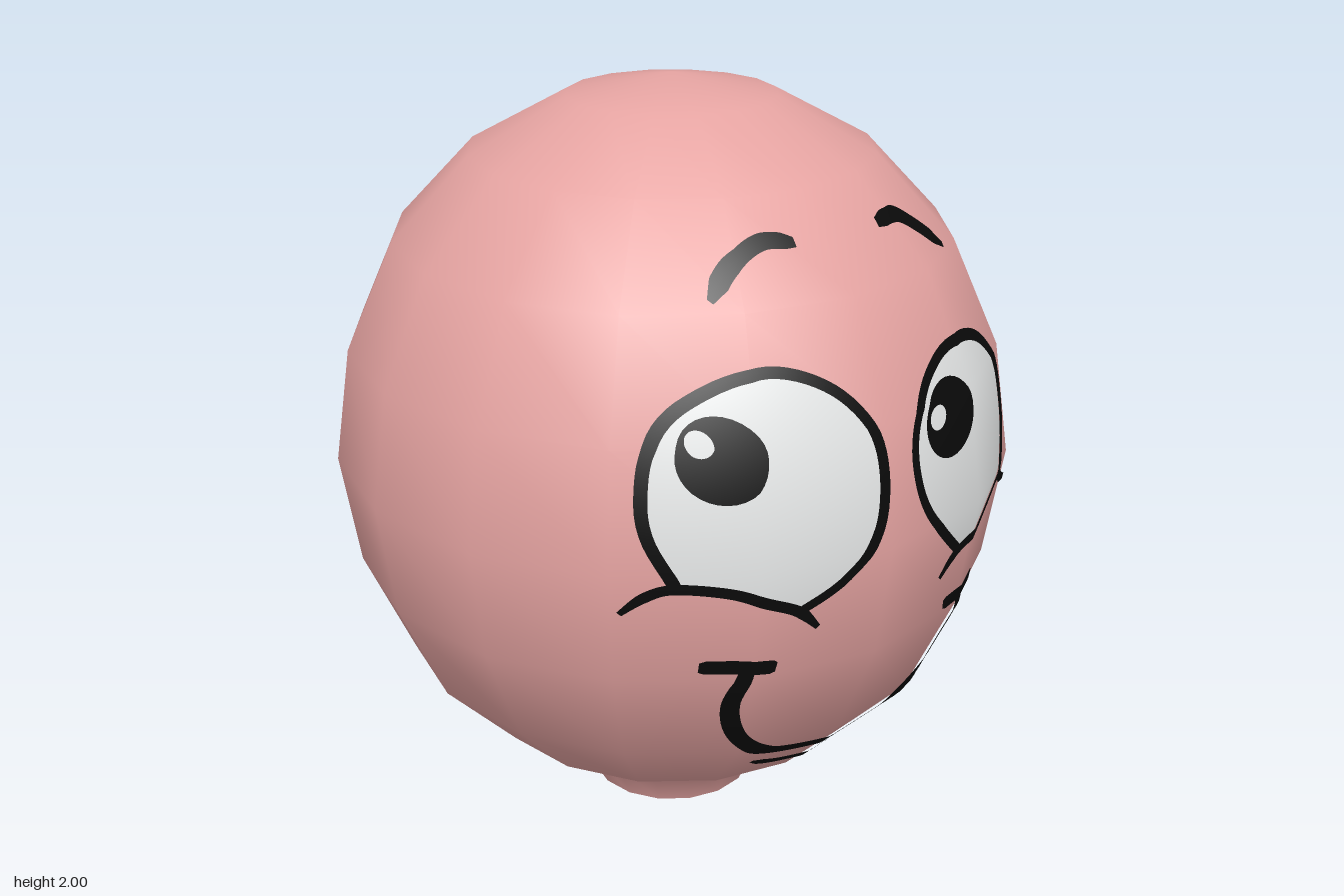
import * as THREE from 'three';

const SIDES = 16;
// Radius and height of each ring, from the neck to the crown
const PROFILE = [[0.225, 0], [0.275, 0.11], [0.52, 0.25], [0.72, 0.46], [0.845, 0.74], [0.89, 1.035],
  [0.845, 1.33], [0.72, 1.605], [0.52, 1.815], [0.27, 1.95], [0, 2]];

const material = (name, color) => {
  const m = new THREE.MeshStandardMaterial({ color });
  m.name = name;
  return m;
};

function radiusAt(y) {
  let i = 1;
  while (i < PROFILE.length - 1 && PROFILE[i][1] < y) i++;
  const [r0, y0] = PROFILE[i - 1], [r1, y1] = PROFILE[i];
  return r0 + (r1 - r0) * (y - y0) / (y1 - y0);
}

// Front point of the many-sided head at (x, y), and the rounded normal there
function onHead(x, y, lift) {
  const apothem = radiusAt(y) * Math.cos(Math.PI / SIDES);
  let z = Infinity;
  for (let k = -4; k < 4; k++) {
    const a = (k + 0.5) * 2 * Math.PI / SIDES;
    z = Math.min(z, (apothem - x * Math.sin(a)) / Math.cos(a));
  }
  const normal = new THREE.Vector3(x, (y - 1.035) * 0.85, z).normalize();
  return { point: new THREE.Vector3(x, y, z).addScaledVector(normal, lift), normal };
}

// Grid of rows of 2D points, draped over the face
function drape(name, rows, lift, mat) {
  const pos = [], nor = [], idx = [], n = rows[0].length;
  for (const row of rows) for (const p of row) {
    const s = onHead(p.x, p.y, lift);
    pos.push(...s.point.toArray());
    nor.push(...s.normal.toArray());
  }
  for (let i = 0; i < rows.length - 1; i++) for (let j = 0; j < n - 1; j++) {
    const a = i * n + j, b = a + n;
    idx.push(a, b, a + 1, b, b + 1, a + 1);
  }
  const g = new THREE.BufferGeometry();
  g.setAttribute('position', new THREE.Float32BufferAttribute(pos, 3));
  g.setAttribute('normal', new THREE.Float32BufferAttribute(nor, 3));
  g.setIndex(idx);
  const mesh = new THREE.Mesh(g, mat);
  mesh.name = name;
  return mesh;
}

const spline = (pts) => new THREE.SplineCurve(pts.map(([x, y]) => new THREE.Vector2(x, y)));

// Painted line; the width at each end is given as a share of the full width
function stroke(name, pts, width, mat, startShare = 0.7, endShare = 0.7) {
  const curve = spline(pts), N = 64, rows = [];
  for (let i = 0; i <= N; i++) {
    const u = i / N, p = curve.getPointAt(u), t = curve.getTangentAt(u);
    const ends = Math.min(1, startShare + u * 4, endShare + (1 - u) * 4);
    const half = width / 2 * ends, side = new THREE.Vector2(-t.y, t.x);
    rows.push([1, 0, -1].map((s) => p.clone().addScaledVector(side, s * half)).reverse());
  }
  // Rows run along the line, so the columns must go from right to left of it
  return drape(name, rows.map((r) => r.reverse()).reverse().map((r) => r.reverse()).reverse()
    .map((r) => r.slice().reverse()).map((r) => r.reverse()), 0.008, mat).translateZ(0);
}

// Filled patch made of rings that grow from its centre
function patch(name, outline, lift, mat) {
  const pts = outline.slice();
  if (THREE.ShapeUtils.area(pts) < 0) pts.reverse();
  const c = new THREE.Box2().setFromPoints(pts).getCenter(new THREE.Vector2());
  pts.push(pts[0]);
  const rows = [];
  for (let i = 0; i <= 16; i++) rows.push(pts.map((p) => c.clone().lerp(p, i / 16)));
  return drape(name, rows, lift, mat);
}

const ellipse = (x, y, rx, ry) =>
  new THREE.EllipseCurve(x, y, rx, ry, 0, Math.PI * 2).getPoints(32).slice(0, -1);

export function createModel() {
  const model = new THREE.Group();
  model.name = 'roundHead';
  const skin = material('pink skin', 0xe6a4a2);
  const white = material('eye white', 0xf4f6f6);
  const black = material('black ink', 0x0a0a0a);
  // Lines stay visible whichever way they are drawn
  black.side = THREE.DoubleSide;

  // Head and neck
  const headGeo = new THREE.LatheGeometry(PROFILE.map(([r, y]) => new THREE.Vector2(r, y)), SIDES);
  const { position, normal } = headGeo.attributes;
  for (let i = 0; i < position.count; i++) {
    if (position.getY(i) > 1.99) normal.setXYZ(i, 0, 1, 0);
  }
  const head = new THREE.Mesh(headGeo, skin);
  head.name = 'head';
  const base = new THREE.Mesh(new THREE.CircleGeometry(PROFILE[0][0], SIDES).rotateX(Math.PI / 2), skin);
  base.name = 'neckBase';
  model.add(head, base);

  // Eyes: the rim runs from the outer lid corner over the top to the inner one
  const eyes = [
    { name: 'rightEye',
      rim: [[-0.5, 1.01], [-0.545, 1.12], [-0.55, 1.22], [-0.52, 1.34], [-0.43, 1.425], [-0.27, 1.48],
        [-0.11, 1.42], [-0.025, 1.29], [-0.03, 1.11], [-0.12, 0.98], [-0.23, 0.915]],
      lid: [[-0.6, 0.94], [-0.555, 0.985], [-0.5, 1.005], [-0.39, 0.99], [-0.31, 0.955], [-0.23, 0.915], [-0.175, 0.86]],
      pupil: [-0.39, 1.3, 0.09, 0.098], glint: [-0.43, 1.34, 0.027, 0.03] },
    { name: 'leftEye',
      rim: [[0.52, 1.015], [0.56, 1.11], [0.565, 1.2], [0.535, 1.31], [0.445, 1.4], [0.295, 1.44],
        [0.18, 1.395], [0.11, 1.31], [0.095, 1.2], [0.14, 1.07], [0.275, 0.925]],
      lid: [[0.625, 0.96], [0.57, 0.985], [0.52, 1.015], [0.46, 0.99], [0.38, 0.96], [0.275, 0.925], [0.215, 0.865]],
      pupil: [0.235, 1.28, 0.093, 0.095], glint: [0.185, 1.295, 0.03, 0.03] },
  ];
  for (const { name, rim, lid, pupil, glint } of eyes) {
    const lower = spline(lid.slice(2, 6)).getPoints(20).reverse().slice(1, -1);
    const outline = [...spline(rim).getPoints(60), ...lower];
    const eye = new THREE.Group();
    eye.name = name;
    eye.add(
      patch('eyeWhite', outline, 0.004, white),
      stroke('eyeRim', rim, 0.026, black, 1, 1),
      stroke('lowerLid', lid, 0.028, black, 0.5, 0.5),
      patch('pupil', ellipse(...pupil), 0.007, black),
      patch('glint', ellipse(...glint), 0.0095, white),
    );
    model.add(eye);
  }

  // Eyebrows, thin at the outer end
  model.add(
    stroke('rightBrow', [[-0.33, 1.625], [-0.255, 1.69], [-0.165, 1.725], [-0.085, 1.717]], 0.032, black, 0.35, 0.6),
    stroke('leftBrow', [[0.41, 1.615], [0.33, 1.675], [0.25, 1.718], [0.175, 1.715]], 0.032, black, 0.35, 0.6),
  );

  // Smile with a crease at each corner and a short line below
  model.add(
    stroke('smile', [[-0.34, 0.77], [-0.345, 0.65], [-0.29, 0.525], [-0.175, 0.44], [0, 0.408],
      [0.17, 0.44], [0.285, 0.525], [0.335, 0.64], [0.325, 0.77]], 0.038, black, 0.8, 0.8),
    stroke('rightCheekCrease', [[-0.435, 0.783], [-0.35, 0.782], [-0.27, 0.77]], 0.038, black),
    stroke('leftCheekCrease', [[0.415, 0.783], [0.33, 0.782], [0.255, 0.77]], 0.038, black),
    stroke('lowerLip', [[-0.185, 0.375], [-0.105, 0.34], [0, 0.327], [0.075, 0.34]], 0.026, black, 0.4, 0.5),
  );
  return model;
}
